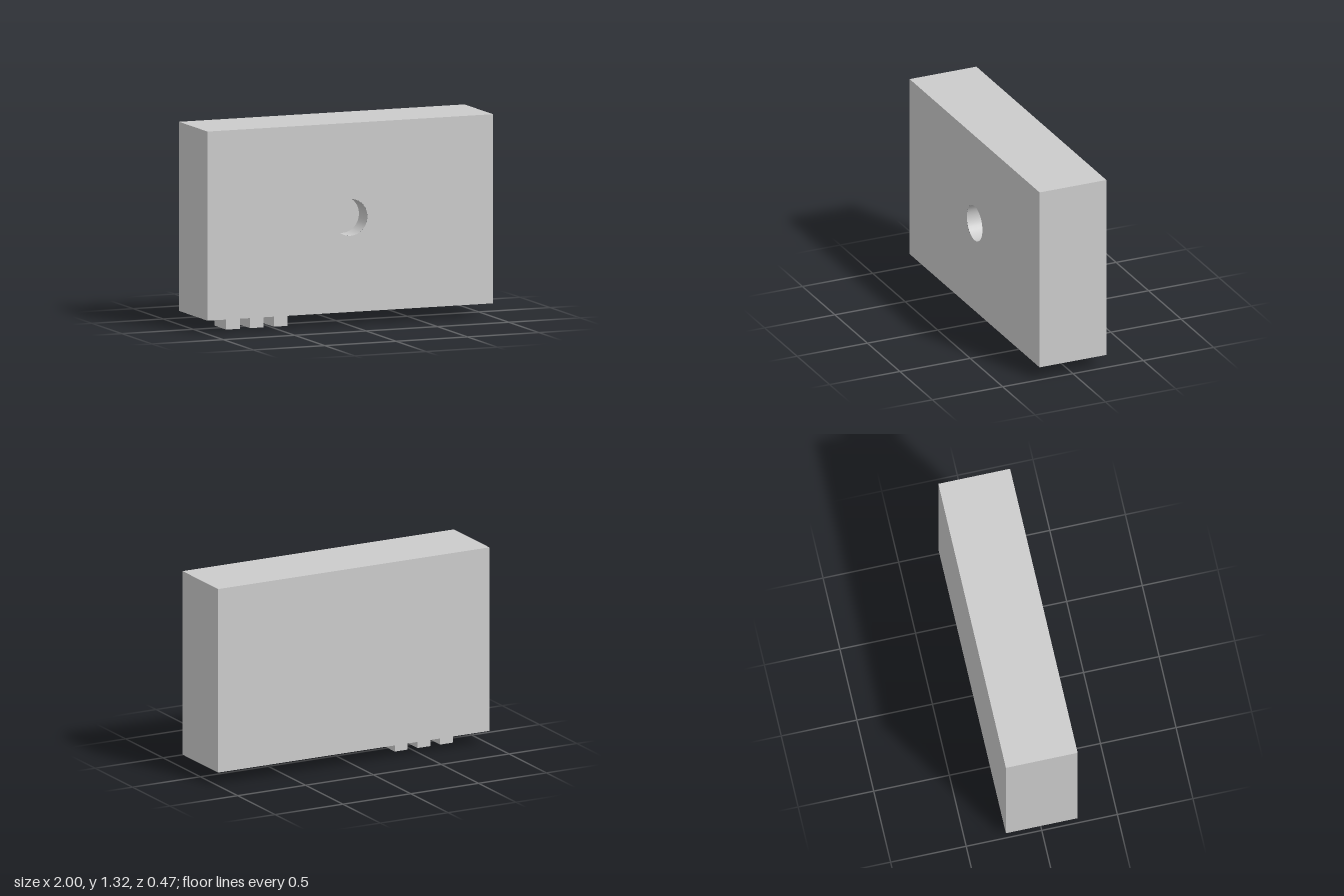
import * as THREE from 'three';

const W = 2, H = 1.234, D = 0.475, FOOT = 0.088;
const HOLE_R = 0.12, HOLE_DEPTH = 0.14, SIDES = 32;

export function createModel() {
  const model = new THREE.Group();
  const material = new THREE.MeshStandardMaterial({ color: 0xcccccc });
  const add = (parent, name, geometry, x = 0, y = 0, z = 0) => {
    const mesh = new THREE.Mesh(geometry, material);
    mesh.name = name;
    mesh.position.set(x, y, z);
    parent.add(mesh);
    return mesh;
  };

  const body = new THREE.Group();
  body.name = 'body';
  body.position.y = FOOT + H / 2;
  model.add(body);

  // Box shell without its front face
  const shell = new THREE.BoxGeometry(W, H, D);
  const index = Array.from(shell.index.array);
  index.splice(24, 6);
  shell.setIndex(index);
  shell.clearGroups();
  add(body, 'shell', shell);

  // Front panel with a round opening
  const panel = new THREE.Shape([
    new THREE.Vector2(-W / 2, -H / 2), new THREE.Vector2(W / 2, -H / 2),
    new THREE.Vector2(W / 2, H / 2), new THREE.Vector2(-W / 2, H / 2),
  ]);
  panel.holes.push(new THREE.Path().absarc(0, 0, HOLE_R, 0, Math.PI * 2, true));
  add(body, 'frontPanel', new THREE.ShapeGeometry(panel, SIDES), 0, 0, D / 2);

  // Blind hole: inward-facing wall and flat floor
  const wall = new THREE.CylinderGeometry(HOLE_R, HOLE_R, HOLE_DEPTH, SIDES, 1, true);
  wall.rotateX(Math.PI / 2).rotateZ(Math.PI / 2);
  const wallMesh = add(body, 'holeWall', wall, 0, 0, D / 2 - HOLE_DEPTH / 2);
  wallMesh.material = material.clone();
  wallMesh.material.side = THREE.BackSide;
  add(body, 'holeFloor', new THREE.CircleGeometry(HOLE_R, SIDES), 0, 0, D / 2 - HOLE_DEPTH);

  // Row of three short pins under the right end
  for (let i = 0; i < 3; i++) {
    add(model, `pin${i + 1}`, new THREE.BoxGeometry(0.095, FOOT, 0.192), -0.762 + i * 0.167, FOOT / 2, 0);
  }
  return model;
}
